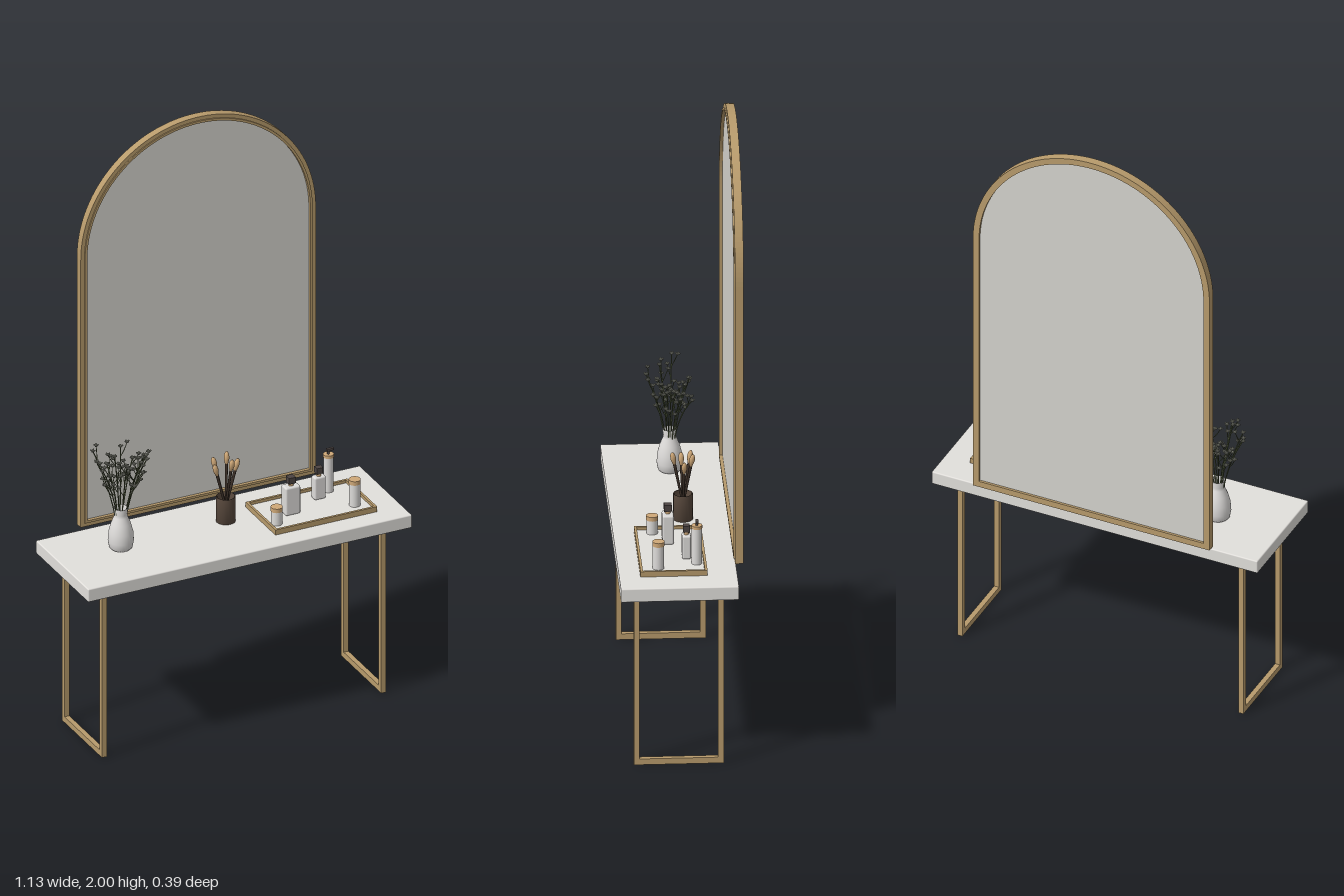
import * as THREE from 'three';
import { RoundedBoxGeometry } from 'three/addons/geometries/RoundedBoxGeometry.js';

const mat = (name, color, side = THREE.FrontSide) => {
  const m = new THREE.MeshStandardMaterial({ color, side });
  m.name = name;
  return m;
};

export function createModel() {
  const root = new THREE.Group();
  const stone = mat('pale stone', 0xe2e0dc);
  const brass = mat('brushed brass', 0xb89b6c);
  const glass = mat('mirror silver', 0xd6d4ce);
  const ceramic = mat('white ceramic', 0xdedcda, THREE.DoubleSide);
  const walnut = mat('dark walnut', 0x5a4a3e, THREE.DoubleSide);
  const handle = mat('brush handle', 0x3c3028);
  const tan = mat('warm tan', 0xcfa878);
  const dark = mat('dark cap', 0x4c4442);
  const green = mat('stem green', 0x5a6444);
  const bud = mat('dry bud', 0x84867a);

  const add = (parent, name, geo, material, x = 0, y = 0, z = 0) => {
    const m = new THREE.Mesh(geo, material);
    m.name = name;
    m.position.set(x, y, z);
    parent.add(m);
    return m;
  };
  const group = (name, x = 0, y = 0, z = 0) => {
    const g = new THREE.Group();
    g.name = name;
    g.position.set(x, y, z);
    root.add(g);
    return g;
  };
  const box = (w, h, d) => new THREE.BoxGeometry(w, h, d);
  const lathe = (pts, n = 32) => new THREE.LatheGeometry(pts.map(p => new THREE.Vector2(...p)), n);

  // Table: slab, two U-shaped leg frames and a rear rail
  add(root, 'tabletop', new RoundedBoxGeometry(1.13, 0.046, 0.37, 2, 0.004), stone, 0, 0.612, 0.01);
  const legs = group('legFrames');
  for (const s of [-1, 1]) {
    for (const z of [0.142, -0.122]) add(legs, 'leg', box(0.017, 0.586, 0.018), brass, s * 0.487, 0.297, z);
    add(legs, 'footBar', box(0.017, 0.02, 0.246), brass, s * 0.487, 0.014, 0.01);
  }
  add(legs, 'rearRail', box(0.957, 0.017, 0.018), brass, 0, 0.578, -0.122);

  // Arched mirror: outer frame, raised inner lip and glass
  const arch = (inset, Type = THREE.Shape) => {
    const r = 0.41 - inset, b = 0.645 + inset, s = new Type();
    s.moveTo(-r, b);
    s.lineTo(r, b);
    s.lineTo(r, 1.59);
    s.absarc(0, 1.59, r, 0, Math.PI, false);
    s.lineTo(-r, b);
    return s;
  };
  const ring = (outer, inner, depth) => {
    const s = arch(outer);
    s.holes.push(arch(inner, THREE.Path));
    return new THREE.ExtrudeGeometry(s, { depth, bevelEnabled: false, curveSegments: 40 });
  };
  const mirror = group('mirror', 0, 0, -0.198);
  add(mirror, 'outerFrame', ring(0, 0.014, 0.027), brass);
  add(mirror, 'innerLip', ring(0.013, 0.021, 0.031), brass);
  add(mirror, 'mirrorGlass', new THREE.ExtrudeGeometry(arch(0.018),
    { depth: 0.012, bevelEnabled: false, curveSegments: 40 }), glass, 0, 0, 0.008);

  // Vase
  const vase = group('vase', -0.35, 0.635, -0.01);
  add(vase, 'vaseBody', lathe([[0, 0], [0.03, 0], [0.037, 0.008], [0.041, 0.03], [0.039, 0.06], [0.031, 0.09],
    [0.022, 0.112], [0.02, 0.122], [0.023, 0.143], [0.02, 0.143], [0.017, 0.12], [0.028, 0.085], [0, 0.02]]), ceramic);

  // Sprigs: curved stems with budded side twigs
  let seed = 11;
  const rnd = () => (seed = (seed * 16807) % 2147483647) / 2147483647;
  const budGeo = new THREE.IcosahedronGeometry(0.0062, 0);
  const twig = (a, b, c, r, n) => {
    const curve = new THREE.QuadraticBezierCurve3(a, b, c);
    add(vase, 'stem', new THREE.TubeGeometry(curve, n, r, 5), green);
    return curve;
  };
  const flower = p => {
    add(vase, 'bud', budGeo, bud, p.x, p.y, p.z).scale.set(1, 0.8, 1);
    for (let k = 0; k < 4; k++) {
      const a = k * Math.PI / 2 + p.x * 60;
      const petal = add(vase, 'petal', budGeo, bud, p.x + Math.cos(a) * 0.006, p.y + 0.002, p.z + Math.sin(a) * 0.006);
      petal.scale.setScalar(0.5);
    }
  };
  const stems = 13;
  for (let i = 0; i < stems; i++) {
    const a = i * 2.4, s = 0.45 + 0.55 * rnd();
    const tip = new THREE.Vector3(0.02 + Math.cos(a) * 0.135 * s, 0.25 + 0.135 * rnd(), Math.sin(a) * 0.078 * s);
    const start = new THREE.Vector3(Math.cos(a) * 0.01, 0.06, Math.sin(a) * 0.01);
    const bend = new THREE.Vector3(tip.x * 0.3, 0.2, tip.z * 0.3);
    const curve = twig(start, bend, tip, 0.0019, 10);
    flower(tip);
    for (let j = 0; j < 4; j++) {
      const p = curve.getPoint(0.52 + j * 0.12);
      const b = a + j * 2.3 + rnd();
      const end = p.clone().add(new THREE.Vector3(Math.cos(b) * 0.026, 0.03 + 0.018 * rnd(), Math.sin(b) * 0.02));
      const mid = p.clone().lerp(end, 0.5).add(new THREE.Vector3(Math.cos(b) * 0.004, -0.003, 0));
      twig(p, mid, end, 0.0013, 4);
      flower(end);
    }
  }

  // Brush cup with brushes
  const cup = group('brushCup', 0.026, 0.635, -0.03);
  add(cup, 'cupBody', lathe([[0, 0], [0.031, 0], [0.031, 0.086], [0.027, 0.086], [0.027, 0.01], [0, 0.01]], 20), walnut);
  const tips = [[-0.041, 0.205, 0.004], [-0.032, 0.215, -0.026], [0.018, 0.222, -0.03], [0.043, 0.205, -0.002], [0.006, 0.225, 0.034]];
  for (const t of tips) {
    const end = new THREE.Vector3(...t), from = new THREE.Vector3(-t[0] * 0.2, 0.014, -t[2] * 0.2);
    const dir = end.clone().sub(from);
    const brush = new THREE.Group();
    brush.name = 'brush';
    brush.position.copy(from);
    brush.quaternion.setFromUnitVectors(new THREE.Vector3(0, 1, 0), dir.clone().normalize());
    const len = dir.length();
    add(brush, 'brushHandle', new THREE.CylinderGeometry(0.005, 0.003, len - 0.035, 10), handle, 0, (len - 0.035) / 2, 0);
    add(brush, 'brushHead', lathe([[0, 0], [0.005, 0], [0.009, 0.018], [0.008, 0.031], [0.004, 0.039], [0, 0.041]], 14),
      tan, 0, len - 0.037, 0);
    cup.add(brush);
  }

  // Tray with brass rim
  const tray = group('tray', 0.298, 0.635, 0.024);
  add(tray, 'trayFloor', box(0.345, 0.008, 0.2), stone, 0, 0.005, 0);
  for (const s of [-1, 1]) {
    add(tray, 'longRim', box(0.355, 0.018, 0.008), brass, 0, 0.01, s * 0.101);
    add(tray, 'shortRim', box(0.008, 0.018, 0.196), brass, s * 0.1735, 0.01, 0);
  }

  // Round jars with tan lids
  const jar = (name, x, z, r, h, lid) => {
    const g = group(name, x, 0.644, z);
    add(g, 'jarBody', new THREE.CylinderGeometry(r, r, h, 24), ceramic, 0, h / 2, 0);
    add(g, 'jarLid', new THREE.CylinderGeometry(r + 0.001, r + 0.001, lid, 24), tan, 0, h + lid / 2, 0);
    return g;
  };
  jar('smallJar', 0.152, 0.074, 0.018, 0.046, 0.014);
  jar('tallJar', 0.426, 0.07, 0.018, 0.077, 0.014);
  const pump = jar('pumpBottle', 0.395, -0.052, 0.016, 0.12, 0.01);
  add(pump, 'pumpStem', new THREE.CylinderGeometry(0.004, 0.004, 0.014, 12), dark, 0, 0.136, 0);
  add(pump, 'pumpNozzle', box(0.024, 0.007, 0.009), dark, 0.006, 0.145, 0);

  // Square bottles with dark stoppers
  const bottle = (name, x, z, w, h, d, cap) => {
    const g = group(name, x, 0.644, z);
    add(g, 'bottleBody', new RoundedBoxGeometry(w, h, d, 2, 0.006), ceramic, 0, h / 2, 0);
    add(g, 'bottleNeck', new THREE.CylinderGeometry(0.008, 0.008, 0.012, 16), tan, 0, h + 0.005, 0);
    add(g, 'bottleCap', box(cap, 0.021, cap), dark, 0, h + 0.02, 0);
  };
  bottle('largeBottle', 0.224, 0.029, 0.052, 0.098, 0.036, 0.024);
  bottle('smallBottle', 0.346, -0.022, 0.04, 0.079, 0.028, 0.021);

  return root;
}
